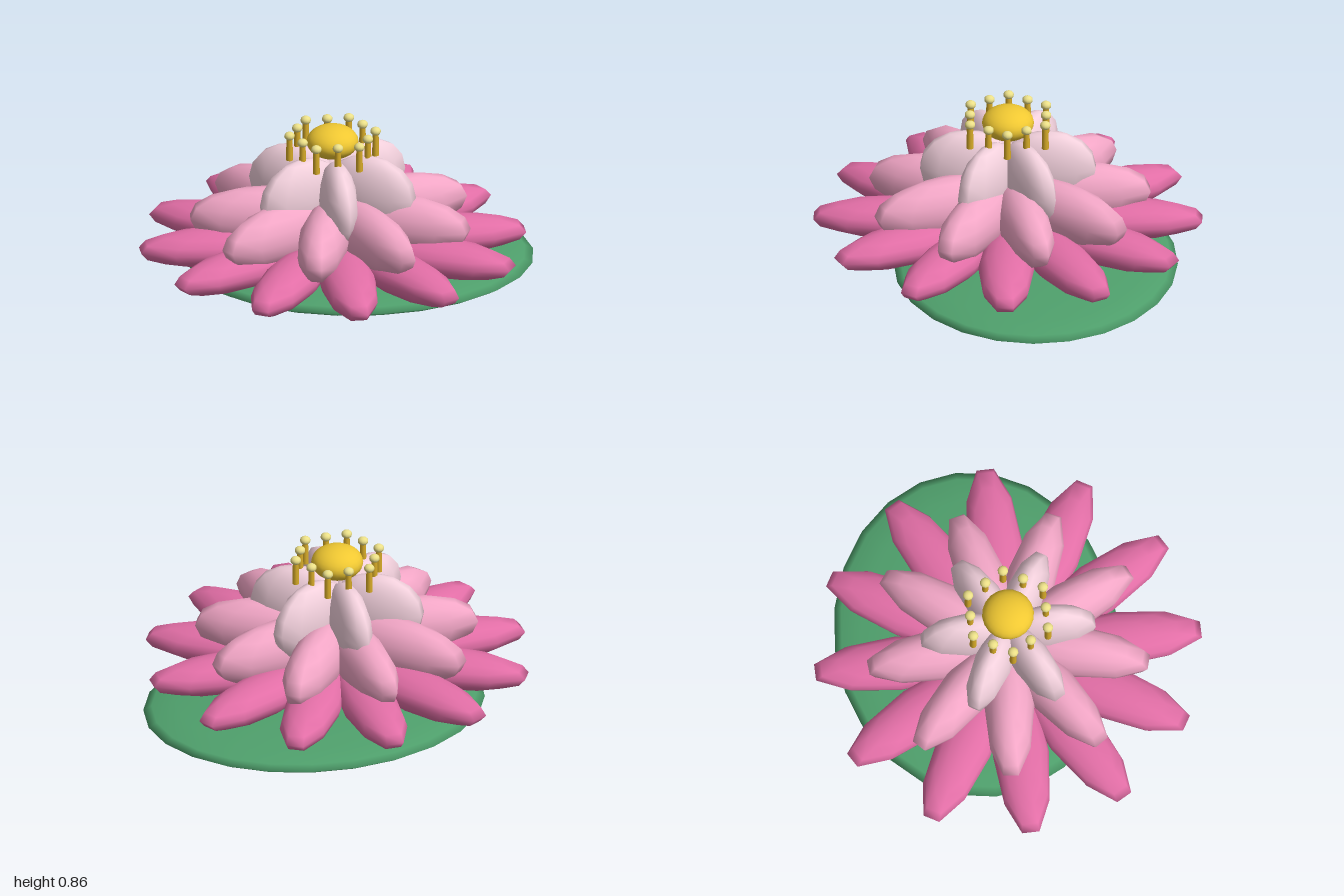
import * as THREE from 'three';

const mat = (color) => new THREE.MeshStandardMaterial({ color });

// Squashed sphere with its half-sizes along x, y and z
function ellipsoid(name, rx, ry, rz, w, h, material) {
  const geo = new THREE.SphereGeometry(1, w, h);
  geo.scale(rx, ry, rz);
  const mesh = new THREE.Mesh(geo, material);
  mesh.name = name;
  return mesh;
}

// One whorl of petals, each lying outward from the flower's axis
function petalRing(name, { count, offset, reach, y, half, color }) {
  const ring = new THREE.Group();
  ring.name = name;
  const material = mat(color);
  for (let i = 0; i < count; i++) {
    const arm = new THREE.Group();
    const petal = ellipsoid('petal', ...half, 10, 8, material);
    petal.position.set(0, y, reach);
    arm.add(petal);
    arm.rotation.y = offset + (i / count) * Math.PI * 2;
    ring.add(arm);
  }
  return ring;
}

export function createModel() {
  const model = new THREE.Group();
  model.name = 'waterLily';

  // Floating leaf, set off to one side of the flower
  const pad = ellipsoid('lilyPad', 0.865, 0.074, 0.71, 24, 10, mat(0x4fa06c));
  pad.position.set(0.135, 0.075, -0.14);
  model.add(pad);

  const flower = new THREE.Group();
  flower.name = 'flower';
  flower.position.x = -0.03;
  model.add(flower);

  // Three whorls of petals, shorter and taller towards the middle
  flower.add(
    petalRing('outerPetals', {
      count: 12, offset: 0, reach: 0.55, y: 0.243, half: [0.14, 0.098, 0.441], color: 0xe26ea6,
    }),
    petalRing('middlePetals', {
      count: 9, offset: 0.427, reach: 0.34, y: 0.38, half: [0.125, 0.155, 0.39], color: 0xf2a6c6,
    }),
    petalRing('innerPetals', {
      count: 6, offset: 0, reach: 0.2, y: 0.53, half: [0.095, 0.2, 0.25], color: 0xf2d0dc,
    }),
  );

  // Domed yellow centre
  const centre = ellipsoid('flowerCentre', 0.13, 0.083, 0.13, 20, 14, mat(0xf0c832));
  centre.position.y = 0.778;
  flower.add(centre);

  // Stamens stand in a ring, alternately nearer and farther out
  const stamens = new THREE.Group();
  stamens.name = 'stamens';
  const stemMat = mat(0xd8ac28);
  const tipMat = mat(0xece088);
  for (let i = 0; i < 12; i++) {
    const a = (i / 12) * Math.PI * 2;
    const r = i % 2 ? 0.217 : 0.19;
    const stamen = new THREE.Group();
    stamen.name = 'stamen';
    stamen.position.set(Math.sin(a) * r, 0, Math.cos(a) * r);
    const stem = new THREE.Mesh(new THREE.CylinderGeometry(0.015, 0.018, 0.13, 8), stemMat);
    stem.name = 'stem';
    stem.position.y = 0.755;
    const tip = ellipsoid('tip', 0.027, 0.022, 0.027, 10, 8, tipMat);
    tip.position.y = 0.82;
    stamen.add(stem, tip);
    stamens.add(stamen);
  }
  flower.add(stamens);

  return model;
}
